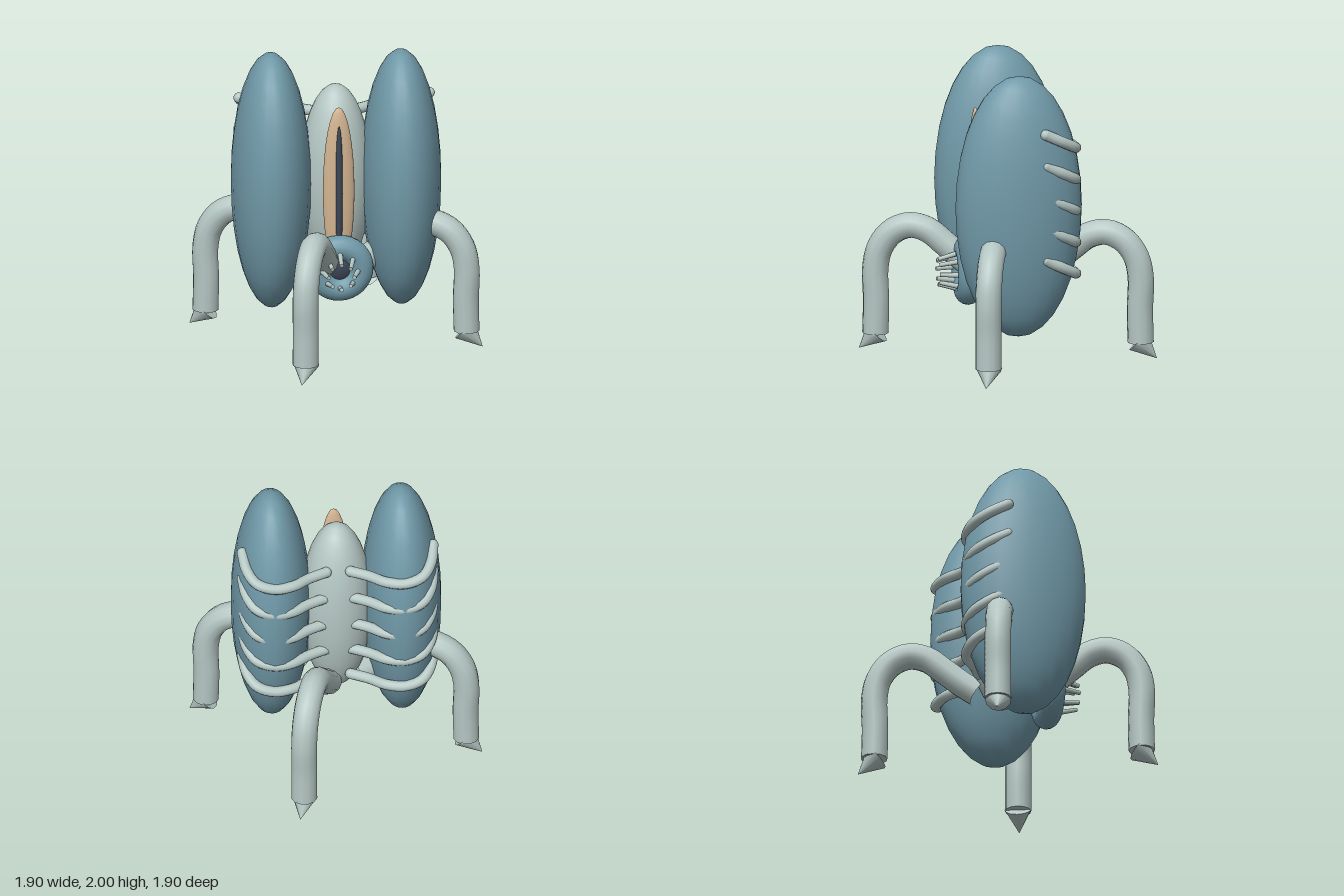
import * as THREE from 'three';

const V = (x, y, z) => new THREE.Vector3(x, y, z);
const flat = (name, color) => {
  const m = new THREE.MeshStandardMaterial({ color });
  m.name = name;
  return m;
};

export function createModel() {
  const root = new THREE.Group();
  root.name = 'creature';
  const blue = flat('dusty blue', 0x7099a8);
  const pale = flat('pale grey green', 0xb5c7c4);
  const tan = flat('tan', 0xd4b592);
  const dark = flat('dark slate', 0x3b4555);

  const add = (parent, name, geometry, material, x = 0, y = 0, z = 0) => {
    const mesh = new THREE.Mesh(geometry, material);
    mesh.name = name;
    mesh.position.set(x, y, z);
    parent.add(mesh);
    return mesh;
  };
  const ellipsoid = (rx, ry, rz) => new THREE.SphereGeometry(1, 24, 16).scale(rx, ry, rz);
  const tube = (points, radius, segments) =>
    new THREE.TubeGeometry(new THREE.CatmullRomCurve3(points), segments, radius, 12);

  // Body, front stripe and slit
  add(root, 'body', ellipsoid(0.24, 0.66, 0.24), pale, 0, 1.1, -0.04);
  add(root, 'frontStripe', ellipsoid(0.105, 0.59, 0.05), tan, 0, 1.1, 0.22);
  add(root, 'frontSlit', ellipsoid(0.026, 0.47, 0.026), dark, 0, 1.1, 0.257);

  // Side lobes, each wrapped by five ribs at the back
  const ribPath = [
    [0.08, 0, -0.22], [0.2, 0, -0.28], [0.31, 0, -0.355], [0.435, 0, -0.38],
    [0.55, 0.03, -0.355], [0.612, 0.08, -0.27], [0.635, 0.14, -0.15],
  ];
  for (const side of [-1, 1]) {
    const half = new THREE.Group();
    half.name = side > 0 ? 'leftHalf' : 'rightHalf';
    root.add(half);
    add(half, 'lobe', ellipsoid(0.267, 0.89, 0.425), blue, side * 0.433, 1.11, 0);
    for (let i = 0; i < 5; i++) {
      const points = ribPath.map(([x, y, z]) => V(side * x, 1.5 - i * 0.215 + y, z));
      add(half, 'rib', tube(points, 0.036, 32), pale);
      for (const end of [points[0], points[6]]) {
        add(half, 'ribTip', new THREE.SphereGeometry(0.036, 12, 8), pale, end.x, end.y, end.z);
      }
    }
  }

  // Round mouth with a ring of inward-leaning teeth
  const mouth = new THREE.Group();
  mouth.name = 'mouth';
  mouth.position.set(0, 0.575, 0.275);
  root.add(mouth);
  add(mouth, 'lips', new THREE.TorusGeometry(0.145, 0.083, 16, 32), blue);
  add(mouth, 'throat', ellipsoid(0.12, 0.12, 0.08), dark, 0, 0, -0.03);
  for (let i = 0; i < 8; i++) {
    const a = (i / 8) * Math.PI * 2;
    const base = V(Math.cos(a) * 0.125, Math.sin(a) * 0.125, 0.05);
    const tip = V(Math.cos(a) * 0.085, Math.sin(a) * 0.085, 0.195);
    const axis = tip.clone().sub(base);
    const tooth = add(mouth, 'tooth', new THREE.CylinderGeometry(0.014, 0.018, axis.length(), 8), pale);
    tooth.position.copy(base).add(tip).multiplyScalar(0.5);
    tooth.quaternion.setFromUnitVectors(V(0, 1, 0), axis.normalize());
  }

  // Four arched legs, a quarter turn apart, with pointed feet
  const legPath = [
    [0.2, 0.56], [0.31, 0.64], [0.43, 0.74], [0.54, 0.825], [0.66, 0.852], [0.78, 0.8],
    [0.86, 0.69], [0.89, 0.55], [0.885, 0.33], [0.89, 0.11],
  ].map(([r, y]) => V(0, y, r));
  const down = V(0, -0.69, 0.72).normalize();
  for (let i = 0; i < 4; i++) {
    const leg = new THREE.Group();
    leg.name = 'leg';
    leg.rotation.y = -0.31 + (i * Math.PI) / 2;
    root.add(leg);
    add(leg, 'limb', tube(legPath, 0.088, 36), pale);
    const cap = add(leg, 'limbEnd', new THREE.CircleGeometry(0.088, 12), pale, 0, 0.11, 0.89);
    cap.rotation.x = Math.PI / 2;
    const foot = add(leg, 'foot', new THREE.ConeGeometry(0.09, 0.17, 12), pale);
    foot.quaternion.setFromUnitVectors(V(0, 1, 0), down);
    foot.position.set(0, 0.0, 1.0).addScaledVector(down, -0.085);
  }
  return root;
}
